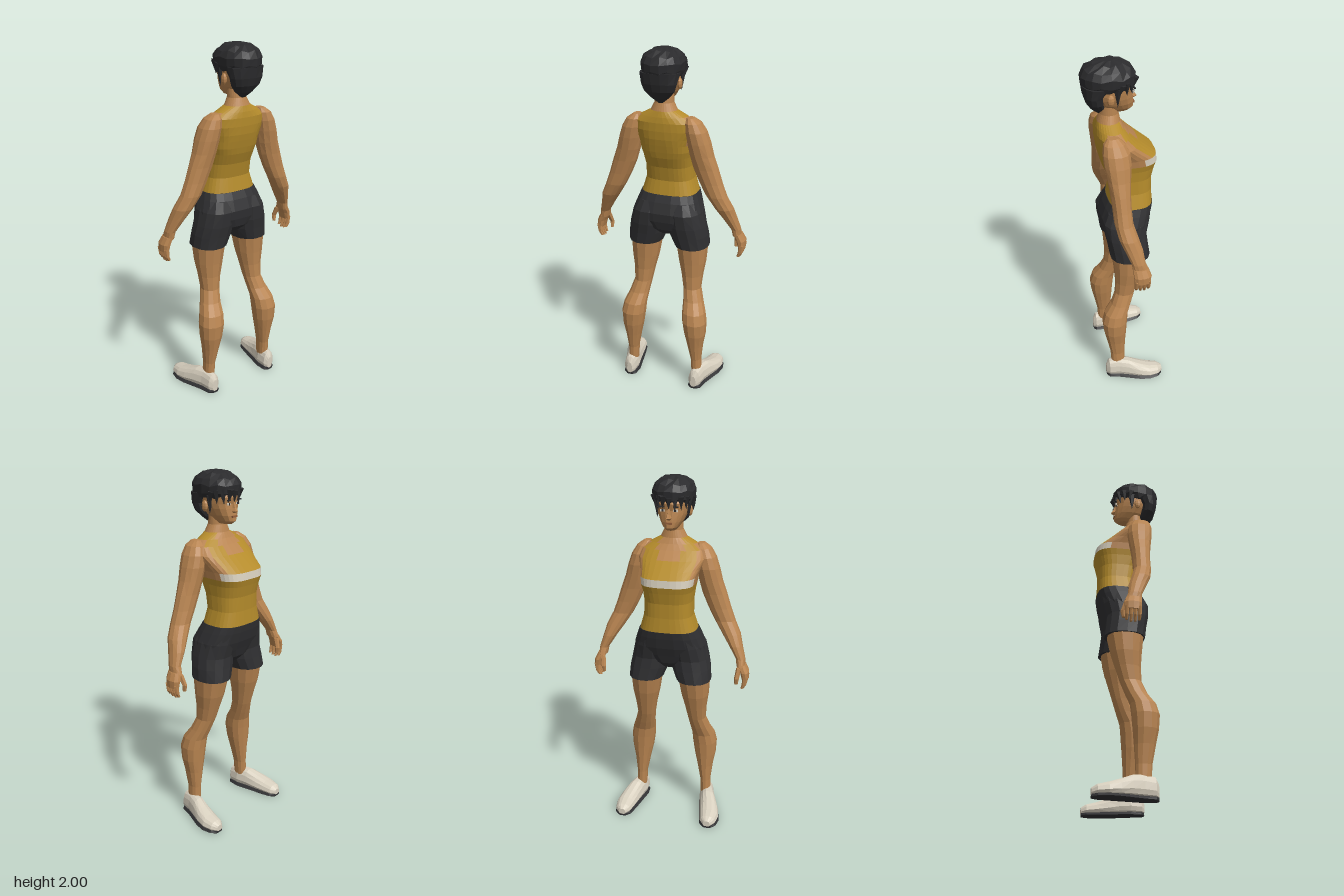
import * as THREE from 'three';

const mat = (name, color, flatShading = true) => {
  const m = new THREE.MeshStandardMaterial({ color, flatShading });
  m.name = name;
  return m;
};

export function createModel() {
  const skin = mat('skin', 0xb98551), yellow = mat('yellow cloth', 0xb48b2b);
  const dark = mat('dark cloth', 0x303032), hairMat = mat('hair', 0x2b2b2d);
  const white = mat('off white', 0xd8d0bf), lipMat = mat('lips', 0x95603c);
  const model = new THREE.Group();
  model.name = 'athlete';

  const add = (name, geometry, material, parent = model) => {
    const mesh = new THREE.Mesh(geometry, material);
    mesh.name = name;
    parent.add(mesh);
    return mesh;
  };

  // Superellipse ring: unit pairs (u, v)
  const unitRing = (n, p) => Array.from({ length: n }, (_, j) => {
    const a = ((j + 0.5) / n) * Math.PI * 2, c = Math.cos(a), s = Math.sin(a);
    return [Math.sign(c) * Math.abs(c) ** (2 / p), Math.sign(s) * Math.abs(s) ** (2 / p)];
  });

  // Horizontal section at height y from its x and z extents
  const section = ([y, x0, x1, z0, z1, p = 2.2], n = 12, side = 1) =>
    unitRing(n, p).map(([u, v]) => new THREE.Vector3(
      (x0 + x1) / 2 + u * (x1 - x0) / 2, y, side * ((z0 + z1) / 2 + v * (z1 - z0) / 2)));

  // Skins a list of rings, caps both ends, faces outward; pick() sorts faces by material
  const loft = (rings, pick = () => 0) => {
    const n = rings[0].length, tris = [];
    const mid = (r) => r.reduce((s, p) => s.add(p), new THREE.Vector3()).divideScalar(n);
    const first = mid(rings[0]), last = mid(rings[rings.length - 1]);
    for (let j = 0; j < n; j++) {
      const k = (j + 1) % n;
      for (let i = 0; i < rings.length - 1; i++) {
        const [a, b, c, d] = [rings[i][j], rings[i][k], rings[i + 1][j], rings[i + 1][k]];
        const m = pick(mid([a, b, c, d]).multiplyScalar(n / 4));
        tris.push([m, a, c, b], [m, b, c, d]);
      }
      const top = rings[rings.length - 1];
      tris.push([0, first, rings[0][j], rings[0][k]], [0, last, top[k], top[j]]);
    }
    let volume = 0;
    for (const [, a, b, c] of tris) {
      volume += a.clone().sub(first).dot(b.clone().sub(first).cross(c.clone().sub(first)));
    }
    tris.sort((s, t) => s[0] - t[0]);
    const points = tris.flatMap(([, a, b, c]) => (volume < 0 ? [a, c, b] : [a, b, c]));
    const g = new THREE.BufferGeometry().setFromPoints(points);
    g.computeVertexNormals();
    let start = 0;
    for (let m = 0; m < 3; m++) {
      const count = tris.filter((t) => t[0] === m).length * 3;
      if (count) g.addGroup(start, count, m);
      start += count;
    }
    return g;
  };
  const body = (rows, n, side) => loft(rows.map((r) => section(r, n, side)));
  const centred = ([y, x0, x1, w, p]) => [y, x0, x1, -w, w, p];

  // Torso: vest with a chest stripe, bare shoulders and neckline
  const torso = [
    [1.17, -0.16, 0.075, 0.162, 2.8], [1.2, -0.168, 0.072, 0.158, 2.8], [1.28, -0.163, 0.058, 0.134, 2.8],
    [1.36, -0.165, 0.075, 0.132, 2.8], [1.42, -0.178, 0.1, 0.138, 3], [1.455, -0.187, 0.11, 0.146, 3.2],
    [1.495, -0.182, 0.12, 0.152, 3], [1.53, -0.14, 0.128, 0.165, 2.6], [1.575, -0.085, 0.133, 0.185, 2.3],
    [1.62, -0.038, 0.134, 0.175, 2.2], [1.65, -0.015, 0.13, 0.13, 2], [1.68, 0.0, 0.122, 0.072, 2],
    [1.72, 0.008, 0.108, 0.052, 2], [1.78, 0.01, 0.1, 0.05, 2],
  ].map((r) => section(centred(r), 32));
  const clothing = ({ x, y, z }) => {
    const w = Math.abs(z);
    if (y > 1.665) return 0;
    if (y > 1.455 && y < 1.495 && x < -0.1) return 2;
    if (y > 1.44 && w > 0.138 && x > -0.1) return 0;
    if (x > 0.05) return w < 0.138 ? 1 : 0;
    if (y > 1.5 && w > 0.135) return 0;
    return y > 1.575 && w < 0.065 ? 0 : 1;
  };
  add('torso', loft(torso, clothing), [skin, yellow, white]);

  // Hips of the shorts
  add('shortsHips', body([
    [0.965, -0.08, 0.06, 0.05], [1.0, -0.11, 0.095, 0.15], [1.05, -0.128, 0.11, 0.205, 2.6],
    [1.1, -0.148, 0.116, 0.2, 2.7], [1.16, -0.163, 0.095, 0.178, 2.8], [1.2, -0.17, 0.075, 0.162, 2.8],
  ].map(centred), 20), dark);

  for (const side of [1, -1]) {
    const limb = new THREE.Group();
    limb.name = side > 0 ? 'limbsPositiveZ' : 'limbsNegativeZ';
    model.add(limb);

    add('shortsLeg', body([
      [0.89, -0.137, 0.088, 0.04, 0.237], [0.96, -0.128, 0.098, 0.012, 0.232],
      [1.02, -0.122, 0.11, 0.002, 0.22], [1.1, -0.14, 0.116, 0.0, 0.2], [1.16, -0.15, 0.09, 0.01, 0.17],
    ], 14, side), dark, limb);

    add('leg', body([
      [0.08, 0.02, 0.1, 0.175, 0.235], [0.18, 0.02, 0.106, 0.17, 0.232], [0.28, 0.015, 0.126, 0.15, 0.243],
      [0.36, 0.01, 0.143, 0.132, 0.258], [0.44, 0.004, 0.15, 0.12, 0.262], [0.5, -0.002, 0.134, 0.116, 0.25],
      [0.56, -0.025, 0.092, 0.11, 0.226], [0.63, -0.05, 0.065, 0.1, 0.204], [0.71, -0.075, 0.062, 0.085, 0.21],
      [0.79, -0.1, 0.068, 0.066, 0.222], [0.92, -0.128, 0.082, 0.045, 0.23],
    ], 12, side), skin, limb);

    // Shoe and sole, built from upright sections heel to toe
    const shoe = [
      [0.135, 0.188, 0.225, 0.085], [0.118, 0.17, 0.248, 0.118], [0.06, 0.165, 0.262, 0.128],
      [0.0, 0.177, 0.285, 0.122], [-0.06, 0.188, 0.308, 0.098], [-0.12, 0.2, 0.32, 0.078],
      [-0.175, 0.213, 0.31, 0.065], [-0.203, 0.238, 0.283, 0.048],
    ];
    const upright = (x, z0, z1, y0, y1, p) => unitRing(12, p).map(([u, v]) => new THREE.Vector3(
      x, (y0 + y1) / 2 + v * (y1 - y0) / 2, side * ((z0 + z1) / 2 + u * (1 - 0.22 * v) * (z1 - z0) / 2.2)));
    add('shoe', loft(shoe.map(([x, a, b, h]) => upright(x, a, b, 0.012, h, 2.6))), white, limb);
    add('sole', loft(shoe.map(([x, a, b]) => upright(x * 0.99, a, b, 0, 0.022, 5))), dark, limb);

    // Arm, hand, fingers and thumb
    add('arm', body([
      [0.99, -0.062, 0.025, 0.378, 0.425], [1.03, -0.045, 0.03, 0.37, 0.422], [1.1, -0.037, 0.06, 0.325, 0.402],
      [1.16, -0.02, 0.085, 0.283, 0.386], [1.23, 0.0, 0.098, 0.237, 0.352], [1.3, 0.002, 0.1, 0.2, 0.326],
      [1.38, 0.0, 0.106, 0.165, 0.3], [1.45, -0.007, 0.116, 0.145, 0.274], [1.52, -0.014, 0.126, 0.13, 0.255],
      [1.58, -0.01, 0.13, 0.12, 0.234], [1.625, 0.012, 0.122, 0.12, 0.206], [1.65, 0.04, 0.1, 0.13, 0.17],
    ], 12, side), skin, limb);
    add('hand', body([
      [0.92, -0.066, 0.02, 0.41, 0.449], [0.96, -0.07, 0.024, 0.398, 0.45], [1.0, -0.058, 0.026, 0.38, 0.43],
    ], 10, side), skin, limb);
    for (let f = 0; f < 4; f++) {
      const x = -0.066 + f * 0.022, tip = 0.856 + Math.abs(f - 1.4) * 0.008;
      add('finger', body([
        [tip, x + 0.003, x + 0.017, 0.408, 0.425], [0.89, x, x + 0.02, 0.415, 0.44], [0.935, x, x + 0.021, 0.416, 0.448],
      ], 6, side), skin, limb);
    }
    add('thumb', body([
      [0.895, -0.076, -0.056, 0.375, 0.394], [0.93, -0.084, -0.058, 0.373, 0.4], [0.985, -0.066, -0.03, 0.38, 0.41],
    ], 6, side), skin, limb);

    // Ear, eye and brow
    const ear = add('ear', new THREE.SphereGeometry(0.03, 8, 6), skin, limb);
    ear.scale.set(0.65, 1, 0.45);
    ear.position.set(0.065, 1.82, side * 0.087);
    const face = [['eye', white, -0.0575, 1.836, 0.012, 0.026], ['iris', dark, -0.0595, 1.836, 0.012, 0.011],
      ['brow', hairMat, -0.062, 1.856, 0.007, 0.036]];
    for (const [name, m, x, y, h, w] of face) {
      const plate = add(name, new THREE.BoxGeometry(0.008, h, w), m, limb);
      plate.position.set(x, y, side * 0.034);
      plate.rotation.y = side * -0.3;
    }

    // Sideburn lock
    const lock = add('sideburn', new THREE.ConeGeometry(0.022, 0.1, 5), hairMat, limb);
    lock.position.set(0.03, 1.83, side * 0.085);
    lock.rotation.set(Math.PI, 0, 0);
  }

  // Head and face
  add('head', body([
    [1.728, -0.045, 0.06, 0.028], [1.745, -0.068, 0.09, 0.042], [1.775, -0.068, 0.12, 0.062],
    [1.81, -0.064, 0.14, 0.077], [1.835, -0.061, 0.15, 0.084], [1.87, -0.07, 0.155, 0.088], [1.94, -0.02, 0.14, 0.075],
  ].map(centred), 16), skin);
  add('nose', body([
    [1.787, -0.068, -0.04, 0.013], [1.797, -0.088, -0.04, 0.016], [1.815, -0.077, -0.04, 0.01], [1.845, -0.066, -0.04, 0.007],
  ].map(centred), 6), skin);
  add('lips', new THREE.BoxGeometry(0.009, 0.01, 0.036), lipMat).position.set(-0.067, 1.77, 0);

  // Short hair: crown, nape and ragged fringe
  const crown = [
    [1.865, -0.045, 0.19, 0.098], [1.89, -0.075, 0.2, 0.111], [1.93, -0.077, 0.202, 0.115],
    [1.962, -0.055, 0.183, 0.099], [1.987, -0.012, 0.14, 0.066], [2.0, 0.03, 0.09, 0.025],
  ].map((r, i) => section(centred(r), 18).map((p, j) => {
    if (i < 5) p.y += 0.006 * Math.sin(j * 2.7 + i * 1.9);
    return p;
  }));
  add('hairCrown', loft(crown), hairMat);
  add('hairNape', body([
    [1.725, 0.1, 0.122, 0.012], [1.755, 0.078, 0.155, 0.05], [1.79, 0.085, 0.178, 0.082],
    [1.83, 0.085, 0.19, 0.096], [1.885, 0.04, 0.198, 0.108],
  ].map(centred), 14), hairMat);
  for (let i = -4; i <= 4; i++) {
    const a = i * 0.33, lock = add('fringeLock', new THREE.ConeGeometry(0.022, 0.06 + 0.008 * (Math.abs(i * 3) % 4), 5), hairMat);
    lock.position.set(0.045 - 0.11 * Math.cos(a), 1.872, 0.098 * Math.sin(a));
    lock.rotation.set(Math.PI, 0, 0.25 * Math.sin(i * 2));
  }
  return model;
}
